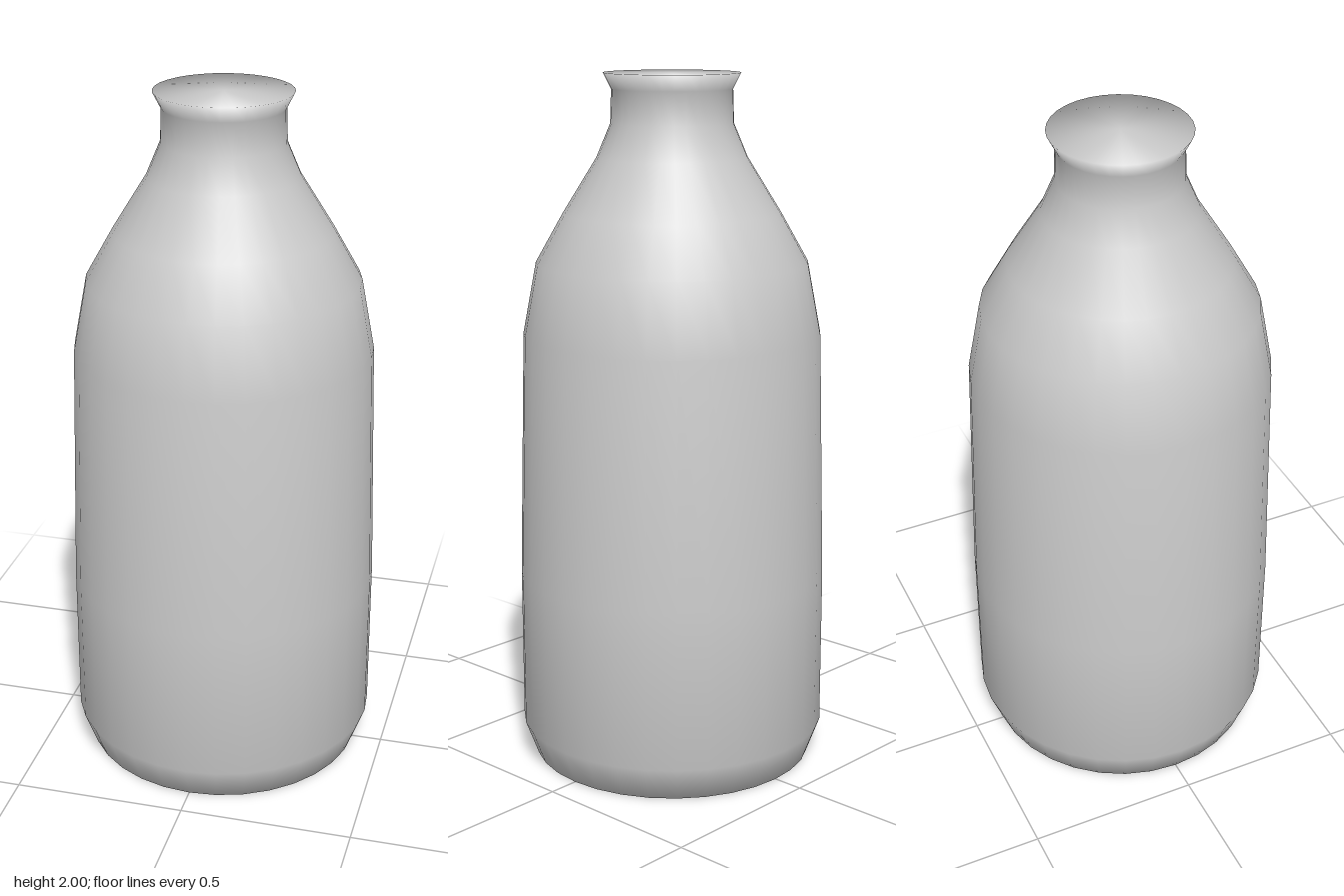
import * as THREE from 'three';

const SIDES = 32;

// Radius and height from the centre of the base to the centre of the closed top
const PROFILE = [
  [0, 0], [0.41, 0],                                // base
  [0.447, 0.1], [0.447, 0.555], [0.428, 1.265],     // body
  [0.389, 1.47], [0.31, 1.61], [0.214, 1.765],      // shoulder
  [0.174, 1.86], [0.171, 1.955],                    // neck
  [0.194, 2], [0, 2],                               // flared lip and top
].map(([r, y]) => new THREE.Vector2(r, y));

// Smooth profile normals: each point averages the unit normals of its two segments
function profileNormals(points) {
  const segments = points.slice(1).map((p, i) =>
    new THREE.Vector2(p.y - points[i].y, points[i].x - p.x).normalize());
  return points.map((_, i) => {
    const before = segments[Math.max(i - 1, 0)];
    const after = segments[Math.min(i, segments.length - 1)];
    return before.clone().add(after).normalize();
  });
}

export function createModel() {
  const geometry = new THREE.LatheGeometry(PROFILE, SIDES);
  const normals = profileNormals(PROFILE);
  const attribute = geometry.attributes.normal;
  for (let i = 0; i <= SIDES; i++) {
    const angle = (i / SIDES) * Math.PI * 2;
    normals.forEach((n, j) => attribute.setXYZ(
      i * PROFILE.length + j, n.x * Math.sin(angle), n.y, n.x * Math.cos(angle)));
  }

  const bottle = new THREE.Mesh(geometry, new THREE.MeshStandardMaterial({ color: 0xcccccc }));
  bottle.name = 'bottle';

  const group = new THREE.Group();
  group.name = 'milkBottle';
  group.add(bottle);
  return group;
}
